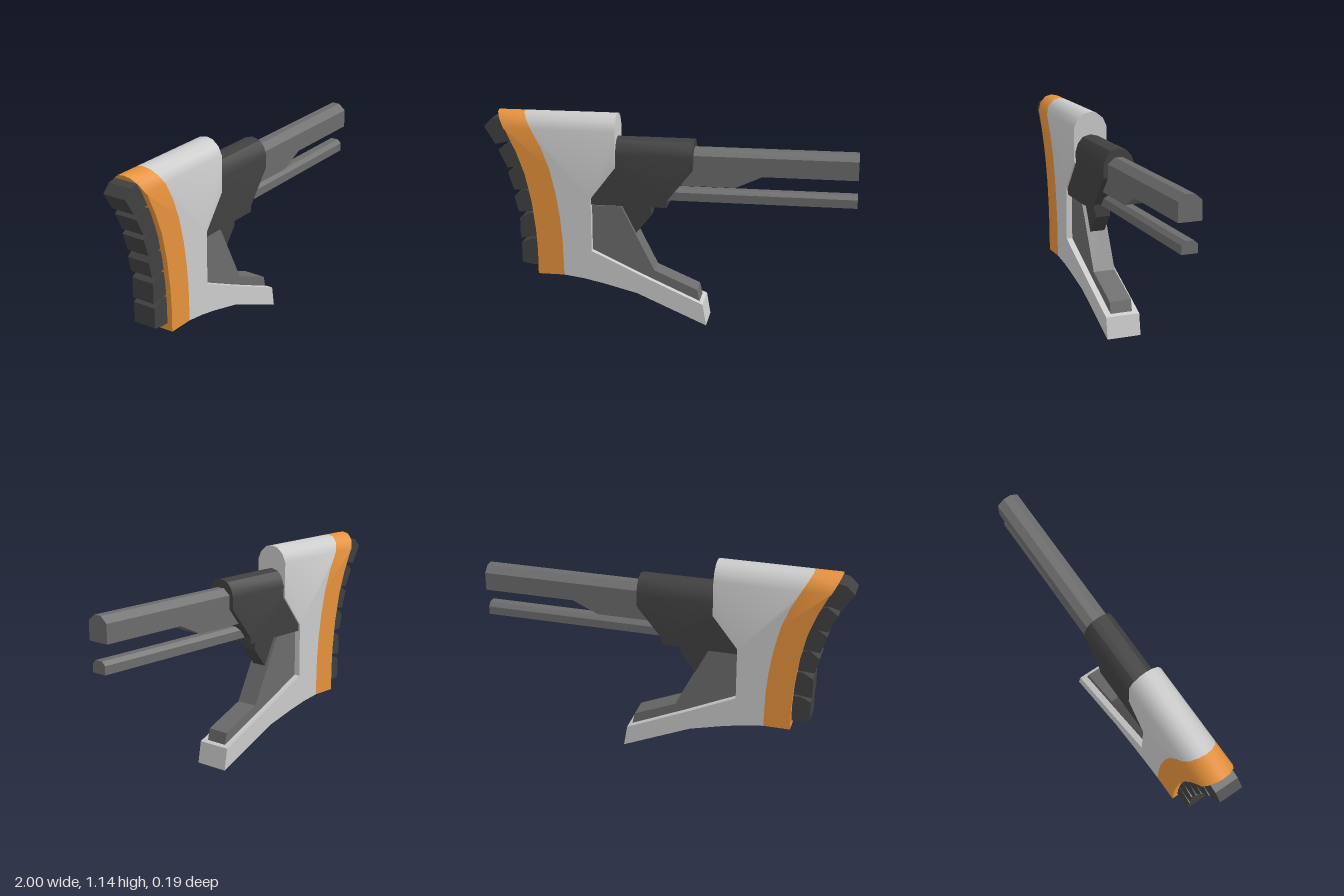
import * as THREE from 'three';
import { toCreasedNormals } from 'three/addons/utils/BufferGeometryUtils.js';

const mat = (color) => new THREE.MeshStandardMaterial({ color });

// Extrudes a side profile through z layers. Each layer is [halfWidth, topHeight],
// listed from the outer side to the middle; points above the first height
// follow the layer heights, leaning by slope(x) so slanted ends stay straight.
function slab(name, profile, layers, material, slope = () => 0) {
  const rows = [...layers];
  [...layers].reverse().forEach(([z, top]) => { if (z > 0) rows.push([-z, top]); });
  const steps = rows.length - 1;
  const shape = new THREE.Shape(profile.map(([x, y]) => new THREE.Vector2(x, y)));
  const geo = new THREE.ExtrudeGeometry(shape, { depth: steps, steps, bevelEnabled: false });
  const p = geo.attributes.position;
  const base = layers[0][1];
  for (let i = 0; i < p.count; i++) {
    const [z, top] = rows[steps - Math.round(p.getZ(i))];
    const x = p.getX(i), y = p.getY(i);
    if (y > base + 0.001) p.setXY(i, x + slope(x) * (top - y), top);
    p.setZ(i, z);
  }
  const mesh = new THREE.Mesh(toCreasedNormals(geo, 0.55), material);
  mesh.name = name;
  return mesh;
}

const flat = (w) => [[w, 9], [-w, 9]];
function block(name, profile, w, material) {
  return slab(name, profile, flat(w).slice(0, 1), material);
}

export function createModel() {
  const group = new THREE.Group();
  const grey = mat(0xcccccc), orange = mat(0xe6923c);
  const dark = mat(0x404040), steel = mat(0x6c6c6c);

  const bodyDome = [[0.096, 1.06], [0.075, 1.107], [0.038, 1.137], [0, 1.145]];
  const coverDome = [[0.087, 0.93], [0.073, 0.975], [0.045, 1.008], [0, 1.02]];

  // Curved seam between the body and the coloured band, bottom to top
  const seam = [[-0.57, 0.25], [-0.575, 0.45], [-0.587, 0.58], [-0.607, 0.71],
    [-0.64, 0.85], [-0.685, 0.965], [-0.735, 1.06], [-0.785, 1.145]];
  const lean = (x) => (x > -0.5 ? 0 : x > -0.85 ? -0.59 : -0.53);

  // Body with its sweeping lower arm
  group.add(slab('body', [
    ...[...seam].reverse(),
    [-0.46, 0.235], [-0.35, 0.212], [-0.165, 0.165], [0.215, 0], [0.195, 0.118],
    [-0.125, 0.26], [-0.415, 0.395], [-0.415, 0.69], [-0.28, 0.865],
    [-0.28, 1.06], [-0.28, 1.145],
  ], bodyDome, grey, lean));

  // Coloured band
  group.add(slab('band', [
    ...seam,
    [-0.93, 1.145], [-0.88, 1.06], [-0.82, 0.935], [-0.775, 0.81],
    [-0.742, 0.66], [-0.722, 0.5], [-0.715, 0.38], [-0.715, 0.25],
  ], bodyDome, orange, lean));

  // Ribbed pads along the back edge
  const pads = [
    [[-1, 1.06], [-0.957, 1.104], [-0.9, 1.115], [-0.84, 0.98], [-0.88, 0.98], [-0.94, 0.965]],
    [[-0.925, 0.933], [-0.866, 0.976], [-0.8, 0.95], [-0.77, 0.84], [-0.824, 0.842], [-0.877, 0.837]],
    [[-0.877, 0.81], [-0.818, 0.848], [-0.76, 0.83], [-0.73, 0.72], [-0.78, 0.719], [-0.845, 0.714]],
    [[-0.845, 0.676], [-0.79, 0.719], [-0.73, 0.7], [-0.71, 0.6], [-0.755, 0.596], [-0.824, 0.591]],
    [[-0.818, 0.553], [-0.76, 0.586], [-0.7, 0.58], [-0.7, 0.45], [-0.738, 0.452], [-0.818, 0.441]],
    [[-0.813, 0.414], [-0.754, 0.441], [-0.7, 0.44], [-0.7, 0.29], [-0.754, 0.291], [-0.813, 0.302]],
  ];
  pads.forEach((pad, i) => group.add(block('pad' + (i + 1), pad, 0.066, dark)));

  // Domed cover around the root of the bars
  group.add(slab('cover', [
    [-0.415, 0.655], [-0.005, 0.655], [-0.005, 0.69], [0.135, 0.865], [0.135, 0.93],
    [0.135, 1.02], [-0.3, 1.02], [-0.3, 0.93], [-0.3, 0.84], [-0.415, 0.69],
  ], coverDome, dark));

  // Upper bar with a thicker underside near the cover
  group.add(slab('upperBar', [
    [0.02, 0.775], [0.36, 0.775], [0.5, 0.84], [1, 0.84], [1, 0.94],
    [1, 0.973], [0.02, 0.973], [0.02, 0.94],
  ], [[0.062, 0.94], [0.022, 0.973]], steel));

  // Lower bar
  group.add(slab('lowerBar', [
    [-0.05, 0.685], [1, 0.685], [1, 0.73], [1, 0.75], [-0.05, 0.75], [-0.05, 0.73],
  ], [[0.043, 0.73], [0.022, 0.75]], steel));

  // Web filling the corner above the lower arm
  group.add(block('web', [
    [-0.43, 0.645], [-0.43, 0.38], [-0.125, 0.24], [0.178, 0.11], [0.16, 0.19],
    [-0.075, 0.29], [-0.255, 0.645],
  ], 0.062, steel));

  // Angled lug under the cover
  group.add(block('lug', [
    [-0.27, 0.66], [-0.18, 0.49], [-0.095, 0.595], [-0.095, 0.66],
  ], 0.042, dark));

  return group;
}
